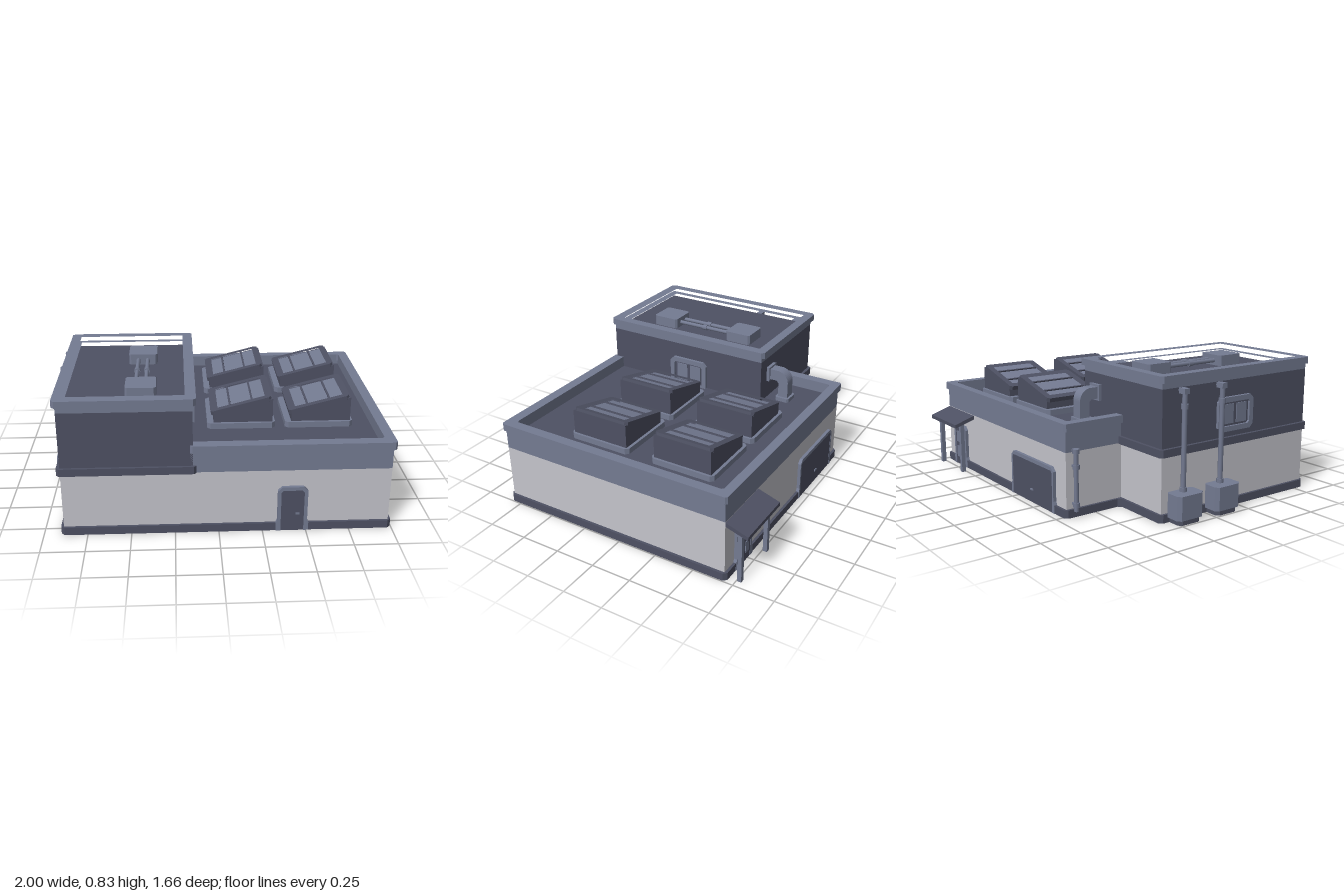
import * as THREE from 'three';

const mat = (name, color) => {
  const m = new THREE.MeshStandardMaterial({ color });
  m.name = name;
  return m;
};

export function createModel() {
  const light = mat('pale wall', 0xc4c4cb);
  const blue = mat('blue grey trim', 0x747b92);
  const dark = mat('dark slate', 0x4e5163);
  const root = new THREE.Group();

  const add = (name, geo, m, parent = root) => {
    const mesh = new THREE.Mesh(geo, m);
    mesh.name = name;
    parent.add(mesh);
    return mesh;
  };
  const group = (name, x, y, z, ry = 0, parent = root) => {
    const g = new THREE.Group();
    g.name = name;
    g.position.set(x, y, z);
    g.rotation.y = ry;
    parent.add(g);
    return g;
  };
  const box = (name, w, h, d, x, y, z, m, parent) => {
    const mesh = add(name, new THREE.BoxGeometry(w, h, d), m, parent);
    mesh.position.set(x, y, z);
    return mesh;
  };
  const rect = (x0, x1, y0, y1) => [[x0, y0], [x1, y0], [x1, y1], [x0, y1]];

  // Cuts every corner of a polygon by c
  const cut = (pts, c) => {
    if (!c) return pts.map((p) => new THREE.Vector2(...p));
    const out = [];
    pts.forEach((p, i) => {
      const v = new THREE.Vector2(...p);
      for (const j of [i - 1, i + 1]) {
        const n = new THREE.Vector2(...pts[(j + pts.length) % pts.length]);
        out.push(v.clone().add(n.sub(v).setLength(c)));
      }
    });
    return out;
  };
  const plate = (pts, depth, c = 0, hole = null, hc = 0) => {
    const s = new THREE.Shape(cut(pts, c));
    if (hole) s.holes.push(new THREE.Path(cut(hole, hc)));
    return new THREE.ExtrudeGeometry(s, { depth, bevelEnabled: false });
  };
  // Horizontal slab from plan points (x, z)
  const slab = (name, pts, y0, y1, m, c = 0, hole = null, parent = root) => {
    const flip = (a) => a && a.map(([x, z]) => [x, -z]);
    const g = plate(flip(pts), y1 - y0, c, flip(hole)).rotateX(-Math.PI / 2);
    return add(name, g.translate(0, y0, 0), m, parent);
  };
  const pipe = (name, pts, r, m, parent = root) => {
    const path = new THREE.CurvePath();
    const v = pts.map((p) => new THREE.Vector3(...p));
    for (let i = 1; i < v.length; i++) path.add(new THREE.LineCurve3(v[i - 1], v[i]));
    return add(name, new THREE.TubeGeometry(path, (v.length - 1) * 8, r, 8), m, parent);
  };

  // Ground floor: L-shaped plan grown by o
  const plan = (o) => [
    [-0.885 - o, 0.81 + o], [0.98 + o, 0.81 + o], [0.98 + o, -0.69 - o],
    [-0.515 - o, -0.69 - o], [-0.515 - o, -0.31 - o], [-0.885 - o, -0.31 - o],
  ];
  slab('plinth', plan(0.016), 0, 0.048, dark, 0.02);
  slab('groundFloorWalls', plan(0), 0.048, 0.378, light);

  // Low roof: parapet and coping run around it and die into the tower
  const rim = (o) => [
    [-0.16, 0.81 + o], [0.98 + o, 0.81 + o], [0.98 + o, -0.69 - o], [-0.515 - o, -0.69 - o],
    [-0.515 - o, -0.29], [-0.47, -0.29], [-0.47, -0.65], [0.935, -0.65], [0.935, 0.76], [-0.16, 0.76],
  ];
  slab('parapet', rim(0), 0.378, 0.502, blue);
  slab('coping', rim(0.016), 0.5, 0.545, blue, 0.012);
  slab('lowRoof', [[-0.16, 0.78], [0.95, 0.78], [0.95, -0.67], [-0.49, -0.67], [-0.49, -0.29], [-0.16, -0.29]],
    0.378, 0.475, dark);

  // Tower
  slab('towerLedge', rect(-0.905, -0.125, -0.33, 0.826), 0.375, 0.42, dark, 0.015);
  slab('towerWalls', rect(-0.885, -0.145, -0.31, 0.81), 0.378, 0.75, dark);
  const towerInner = rect(-0.845, -0.185, -0.275, 0.76);
  slab('towerParapet', rect(-0.885, -0.145, -0.31, 0.81), 0.75, 0.787, blue, 0, towerInner);
  slab('towerCoping', rect(-0.905, -0.125, -0.333, 0.826), 0.785, 0.825, blue, 0.018, towerInner);

  // Tower roof units joined by twin pipes
  for (const z of [-0.027, 0.533]) {
    slab('roofUnit', rect(-0.52, -0.345, z - 0.088, z + 0.088), 0.75, 0.815, blue, 0.012);
  }
  for (const x of [-0.463, -0.405]) {
    pipe('roofPipe', [[x, 0.78, 0.05], [x, 0.78, 0.46]], 0.013, blue);
    const ring = add('pipeCollar', new THREE.CylinderGeometry(0.019, 0.019, 0.03, 8).rotateX(Math.PI / 2), blue);
    ring.position.set(x, 0.78, 0.25);
  }

  // Sloped skylights
  for (const x of [0.152, 0.617]) for (const z of [-0.317, 0.243]) {
    const s = group('skylight', x, 0, z);
    slab('skylightCurb', rect(-0.203, 0.203, -0.203, 0.203), 0.47, 0.51, blue, 0.02, null, s);
    const wedge = plate([[-0.165, 0.5], [0.188, 0.5], [0.188, 0.655], [-0.165, 0.56]], 0.37);
    add('skylightBody', wedge.translate(0, 0, -0.185), dark, s);
    const lid = group('skylightLid', 0, 0.607, 0, 0, s);
    lid.rotation.z = 0.25;
    slab('lidFrame', rect(-0.185, 0.185, -0.186, 0.186), -0.01, 0.017, dark, 0.015, rect(-0.14, 0.15, -0.147, 0.147), lid);
    box('lidGlass', 0.3, 0.008, 0.3, 0.005, 0.004, 0, blue, lid);
    for (const mx of [-0.065, 0.07]) box('glazingBar', 0.012, 0.012, 0.3, mx, 0.01, 0, dark, lid);
  }

  // Curved air duct from low roof into tower
  slab('ductFlange', rect(-0.325, -0.22, -0.47, -0.375), 0.47, 0.5, blue, 0.012);
  const duct = new THREE.Shape();
  duct.moveTo(0.455, 0.48);
  duct.lineTo(0.455, 0.6);
  duct.absarc(0.38, 0.6, 0.075, 0, Math.PI / 2, false);
  duct.lineTo(0.3, 0.675);
  duct.lineTo(0.3, 0.605);
  duct.lineTo(0.375, 0.605);
  duct.lineTo(0.39, 0.59);
  duct.lineTo(0.39, 0.48);
  const ductGeo = new THREE.ExtrudeGeometry(duct, { depth: 0.07, bevelEnabled: false, curveSegments: 6 });
  add('airDuct', ductGeo.rotateY(Math.PI / 2).translate(-0.308, 0, 0), blue);
  box('ductWallFlange', 0.095, 0.095, 0.02, -0.273, 0.64, -0.32, blue);

  // Tower side windows
  for (const side of [-1, 1]) {
    const w = group('window', side > 0 ? -0.145 : -0.885, 0.555, 0.22, side * Math.PI / 2);
    add('windowFrame', plate(rect(-0.135, 0.135, -0.1, 0.1), 0.02, 0.025, rect(-0.105, 0.105, -0.07, 0.07), 0.012), blue, w);
    box('windowBacking', 0.22, 0.15, 0.006, 0, 0, 0.003, dark, w);
    for (const x of [-0.05, 0.05]) box('windowPane', 0.078, 0.115, 0.008, x, 0, 0.006, blue, w);
  }

  // Doors: frame, leaf and handle
  const door = (name, x, z, ry, half, frame, top) => {
    const d = group(name, x, 0, z, ry);
    const o = half + frame, c = 0.025;
    const arch = [[-o - 0.008, 0], [-o - 0.008, 0.05], [-o, 0.07], [-o, top - c], [-o + c, top], [o - c, top],
      [o, top - c], [o, 0.07], [o + 0.008, 0.05], [o + 0.008, 0], [half, 0], [half, top - 0.035],
      [half - 0.012, top - 0.022], [-half + 0.012, top - 0.022], [-half, top - 0.035], [-half, 0]];
    add('doorFrame', plate(arch, 0.02), blue, d);
    box('doorLeaf', half * 2, top - 0.02, 0.018, 0, top / 2 - 0.01, 0.009, dark, d);
    return d;
  };
  const front = door('frontDoor', 0.42, 0.81, 0, 0.066, 0.02, 0.28);
  box('doorHandle', 0.022, 0.01, 0.008, 0.028, 0.11, 0.02, blue, front);
  const back = door('backDoor', 0.79, -0.69, Math.PI, 0.066, 0.02, 0.28);
  for (const x of [-0.028, 0.028]) for (const y of [0.09, 0.195]) {
    box('doorPanel', 0.038, 0.075, 0.006, x, y, 0.019, blue, back);
  }
  const garage = door('garageDoor', -0.17, -0.69, Math.PI, 0.225, 0.014, 0.27);
  box('garageHandle', 0.03, 0.01, 0.008, 0, 0.08, 0.02, blue, garage);

  // Porch over the back door
  const roof = plate([[0.69, 0.35], [0.826, 0.308], [0.826, 0.331], [0.69, 0.375]], 0.372);
  add('porchRoof', roof.rotateY(Math.PI / 2).translate(0.607, 0, 0), dark);
  for (const x of [0.64, 0.945]) box('porchPost', 0.026, 0.335, 0.026, x, 0.167, -0.767, blue);

  // Side tanks with risers bending into the tower
  for (const [z, pz] of [[-0.183, -0.185], [0.093, 0.09]]) {
    slab('tankFoot', rect(-0.99, -0.88, z - 0.078, z + 0.078), 0, 0.03, dark, 0.02);
    slab('tank', rect(-1, -0.88, z - 0.092, z + 0.092), 0.03, 0.17, blue, 0.02);
    pipe('riser', [[-0.923, 0.16, pz], [-0.923, 0.725, pz], [-0.915, 0.735, pz], [-0.88, 0.735, pz]], 0.015, blue);
    for (const y of [0.18, 0.65]) {
      add('riserCollar', new THREE.CylinderGeometry(0.021, 0.021, 0.028, 8), blue).position.set(-0.923, y, pz);
    }
    box('riserElbow', 0.05, 0.03, 0.036, -0.917, 0.735, pz, blue);
  }

  // Drain pipe on the rear corner
  pipe('drainPipe', [[-0.55, 0.04, -0.645], [-0.55, 0.4, -0.645]], 0.014, blue);
  for (const y of [0.08, 0.3, 0.39]) {
    add('drainCollar', new THREE.CylinderGeometry(0.021, 0.021, 0.026, 8), blue).position.set(-0.55, y, -0.645);
    box('drainBracket', 0.04, 0.014, 0.014, -0.53, y, -0.645, blue);
  }
  return root;
}
